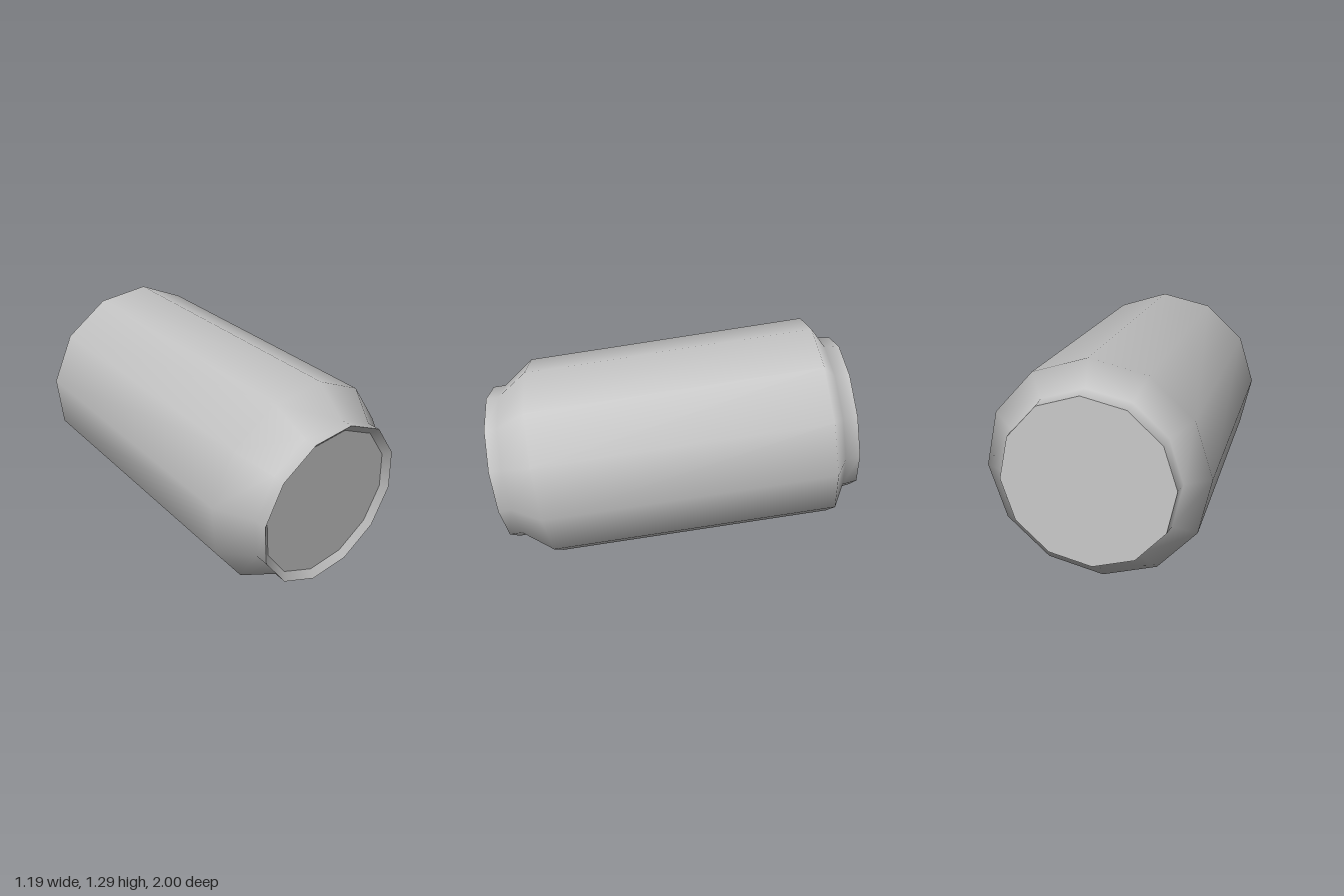
import * as THREE from 'three';

const SIDES = 12;

export function createModel() {
  const root = new THREE.Group();
  root.name = 'can';
  const metal = new THREE.MeshStandardMaterial({ color: 0xc0c0c0 });
  metal.name = 'bare metal';

  const add = (name, geometry, y = 0) => {
    const mesh = new THREE.Mesh(geometry, metal);
    mesh.name = name;
    mesh.position.y = y;
    can.add(mesh);
  };
  const turned = (points) =>
    new THREE.LatheGeometry(points.map(([r, y]) => new THREE.Vector2(r, y)), SIDES);
  const disc = (radius, facing) =>
    new THREE.CircleGeometry(radius, SIDES).rotateX(-facing * Math.PI / 2);

  // Local +y runs along the can towards its front end
  const can = new THREE.Group();
  can.name = 'tiltedCan';
  root.add(can);

  // Smooth wall with a short neck at the back and a longer one at the front
  add('wall', turned([
    [0.42, -1.9], [0.43, -1.823], [0.55, -1.754],
    [0.55, -0.235], [0.43, -0.067], [0.43, 0],
  ]));

  // Bevelled inside of the front rim and the recessed lid
  add('rim', turned([[0.43, 0], [0.392, -0.03]]));
  add('lid', disc(0.392, 1), -0.03);

  // Flat base at the back
  add('base', disc(0.42, -1), -1.9);

  // Lay the can down, tilted slightly, with one corner of its sides near the top
  const axis = new THREE.Vector3(-0.06, -0.136, 1).normalize();
  const phase = THREE.MathUtils.degToRad(85.5);
  const corner = new THREE.Vector3(Math.cos(phase), Math.sin(phase), 0);
  corner.addScaledVector(axis, -corner.dot(axis)).normalize();
  const side = new THREE.Vector3().crossVectors(axis, corner);
  can.quaternion.setFromRotationMatrix(new THREE.Matrix4().makeBasis(side, axis, corner));
  can.position.set(-0.057, 0.518, 0.94);

  return root;
}
